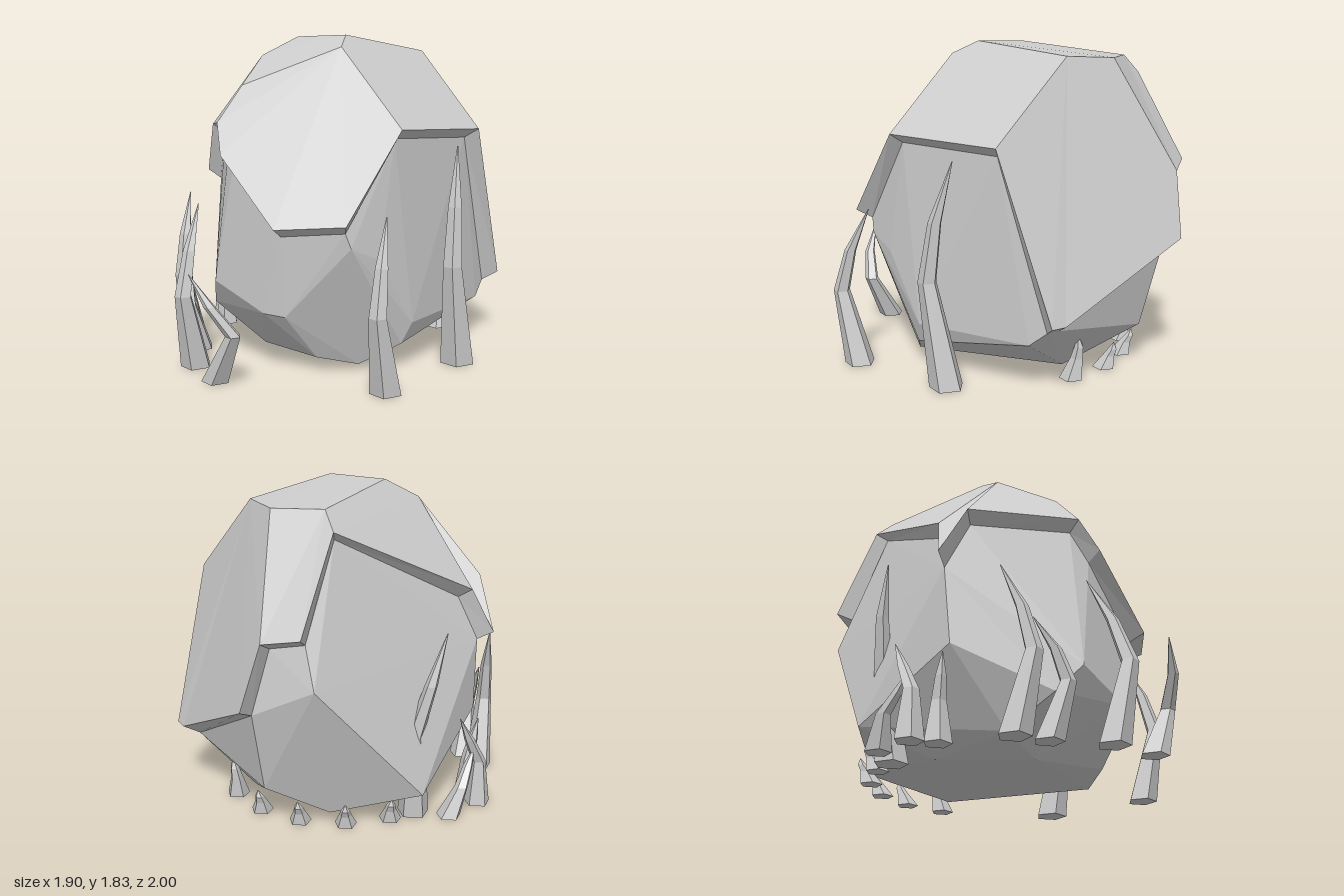
import * as THREE from 'three';
import { ConvexGeometry } from 'three/addons/geometries/ConvexGeometry.js';

const material = new THREE.MeshStandardMaterial({ color: 0xcccccc, flatShading: true });
const shellMaterial = new THREE.MeshStandardMaterial({
  color: 0xcccccc, flatShading: true, side: THREE.DoubleSide,
});

// Corners of the stone layer that covers the boulder
const corner = {
  A: [0.07, 1.76, 0.33], B: [0.07, 1.83, 0.18], C: [-0.26, 1.83, -0.06],
  D: [-0.45, 1.72, 0.05], E: [-0.81, 1.3, -0.09], F: [0.82, 1.3, 0.04],
  G: [0.46, 1.75, -0.32], H: [0.02, 1.75, -0.66], J: [0.31, 1.74, -0.58],
  K: [-0.03, 1.65, -0.75], M: [0.11, 1.16, -1], N: [0.32, 1.12, -0.94],
  O: [0.9, 0.4, -0.32], P: [0.95, 0.4, -0.25], Q: [0.43, 0.76, -0.96],
  R: [-0.48, 1.55, 0.39], S: [-0.59, 1.35, 0.51], W: [-0.54, 1.18, 0.62],
  T: [-0.19, 0.83, 0.87], U: [0.19, 0.86, 0.89], V: [0.44, 1.33, 0.64],
  X: [-0.89, 1, -0.23], Y: [-0.76, 1.25, -0.25],
};

// Facets: front, front left, left, top, front right, right, back
const facets = ['ARSWTUV', 'DESRABC', 'DCHKYXE', 'BGJHC', 'AVFGB', 'GFPOQNJ', 'HJNMK'];

// Open edge of the layer, and the rule that tucks it in to meet the boulder
const edge = [...'SWTUVFPOQNMKYXE'];
const tuck = ([x, y, z]) => [x * 0.9, y - 0.05, z * 0.9];

// Lower corners of the boulder
const lowerRock = [
  [0.2, 0.73, 0.79], [0.33, 0.65, 0.67], [-0.16, 0.34, 0.75], [-0.28, 0.35, 0.73],
  [-0.02, 0.08, 0.6], [0.43, 0.15, 0.5], [-0.62, 0.46, 0.5], [-0.67, 0.3, 0.35],
  [-0.8, 0.52, -0.17], [0.49, 0.27, 0.49], [0.82, 0.27, -0.13], [0.35, 0.24, -0.75],
  [0.05, 0.88, -0.96], [-0.51, 0.19, -0.67], [0.2, 0.03, 0.53], [-0.4, 0.03, 0.24],
  [0.48, 0.04, -0.31], [0, 0.07, -0.68], [-0.4, 0.04, -0.28], [-0.6, 0.12, 0.1],
];

function shellGeometry() {
  const positions = [];
  const addPolygon = (points) => {
    for (let i = 1; i < points.length - 1; i++) {
      positions.push(...points[0], ...points[i], ...points[i + 1]);
    }
  };
  for (const facet of facets) addPolygon([...facet].map((k) => corner[k]));
  edge.forEach((key, i) => {
    const a = corner[key];
    const b = corner[edge[(i + 1) % edge.length]];
    addPolygon([b, a, tuck(a), tuck(b)]);
  });
  const geometry = new THREE.BufferGeometry();
  geometry.setAttribute('position', new THREE.Float32BufferAttribute(positions, 3));
  geometry.computeVertexNormals();
  return geometry;
}

// Five-sided blade that bends at an elbow and tapers to its tip
function makeBlade(x, z, height, tipX, tipZ, bendX = -0.03, bendZ = 0.1) {
  const base = new THREE.Vector3(x, 0, z);
  const elbow = new THREE.Vector3(x + bendX, height * 0.47, z + bendZ);
  const tip = new THREE.Vector3(tipX, height, tipZ);
  const shoulder = elbow.clone().lerp(tip, 0.5);
  shoulder.z += bendZ * 0.25;
  const path = [base, elbow, shoulder, tip];
  const taper = [1, 0.55, 0.4, 0.03];
  const geometry = new THREE.CylinderGeometry(1, 1, 1, 5, 3);
  const p = geometry.attributes.position;
  for (let i = 0; i < p.count; i++) {
    const row = Math.round((p.getY(i) + 0.5) * 3);
    const r = (0.06 + 0.03 * height) * taper[row];
    const c = path[row];
    p.setXYZ(i, c.x + p.getX(i) * r, c.y, c.z + p.getZ(i) * r);
  }
  geometry.computeVertexNormals();
  const blade = new THREE.Mesh(geometry, material);
  blade.name = 'grassBlade';
  return blade;
}

// Blades: base x, base z, height, tip x, tip z, then the elbow shift if unusual
const blades = [
  [0.39, 0.85, 0.9, 0.38, 0.78],
  [0.73, 0.31, 1.22, 0.71, 0.27],
  [-0.87, 0.15, 0.9, -0.9, 0.09],
  [-0.7, 0.62, 0.9, -0.7, 0.53],
  [-0.78, 0.31, 0.62, -0.86, 0.25],
  [-0.52, 0.83, 0.6, -0.62, 0.94, 0.13],
  [-0.46, -0.5, 1.08, -0.62, -0.54, 0, -0.07],
  [-0.83, -0.35, 0.56, -0.71, -0.46, 0, 0],
  [-0.66, -0.53, 0.36, -0.8, -0.38, -0.07, 0.03],
  [-0.78, -0.22, 0.46, -0.83, -0.2, 0, 0],
];

export function createModel() {
  const model = new THREE.Group();
  model.name = 'boulderWithGrass';

  const rockPoints = [...edge.map((k) => tuck(corner[k])), ...lowerRock];
  const rock = new THREE.Mesh(
    new ConvexGeometry(rockPoints.map((p) => new THREE.Vector3(...p))), material);
  rock.name = 'boulder';

  const shell = new THREE.Mesh(shellGeometry(), shellMaterial);
  shell.name = 'upperStoneLayer';

  const grass = new THREE.Group();
  grass.name = 'grass';
  for (const blade of blades) grass.add(makeBlade(...blade));

  // Short shoots in an arc under the back edge
  for (let i = 0; i < 5; i++) {
    const angle = 0.56 + 0.38 * i;
    const x = 0.68 * Math.cos(angle);
    const z = -0.68 * Math.sin(angle);
    grass.add(makeBlade(x, z, i ? 0.15 : 0.25, x * 1.03, z * 1.1, 0, -0.03));
  }

  model.add(rock, shell, grass);
  return model;
}
